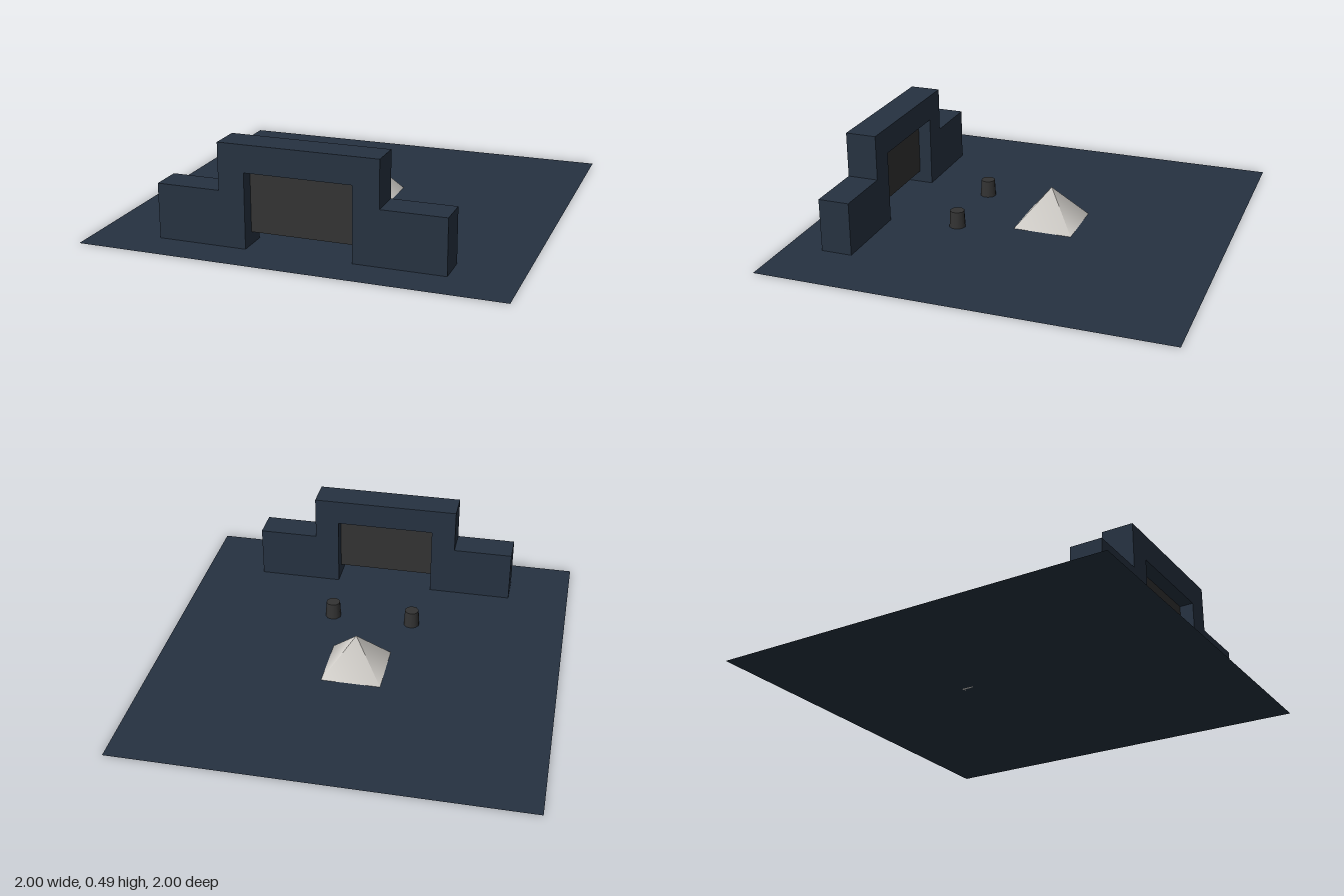
import * as THREE from 'three';

export function createModel() {
  const model = new THREE.Group();
  const material = (name, color, side = THREE.FrontSide) => {
    const m = new THREE.MeshStandardMaterial({ color, side });
    m.name = name;
    return m;
  };
  const navy = material('dark navy', 0x263241);
  const navyGround = material('dark navy', 0x263241, THREE.DoubleSide);
  const charcoal = material('charcoal', 0x333333);
  const stone = material('pale stone', 0xd0cdc8);

  const add = (name, geometry, mat, x, y, z) => {
    const mesh = new THREE.Mesh(geometry, mat);
    mesh.name = name;
    mesh.position.set(x, y, z);
    model.add(mesh);
    return mesh;
  };

  // Flat square ground
  add('ground', new THREE.PlaneGeometry(2, 2).rotateX(-Math.PI / 2), navyGround, 0, 0, 0);

  // Stepped gatehouse with a rectangular opening
  const half = [[0.255, 0], [0.685, 0], [0.685, 0.265], [0.38, 0.265], [0.38, 0.49]];
  const outline = [...half, ...half.map(([x, y]) => [-x, y]).reverse()];
  outline.push([-0.255, 0.36], [0.255, 0.36]);
  const wall = new THREE.Shape(outline.map(([x, y]) => new THREE.Vector2(x, y)));
  const wallGeometry = new THREE.ExtrudeGeometry(wall, { depth: 0.155, bevelEnabled: false });
  add('gatehouse', wallGeometry, navy, 0, 0, 0.66);

  // Raised gate panel hung inside the opening
  add('gatePanel', new THREE.BoxGeometry(0.51, 0.3, 0.02), charcoal, 0, 0.21, 0.737);

  // Pair of tapered bollards
  for (const side of [-1, 1]) {
    const bollard = new THREE.CylinderGeometry(0.036, 0.041, 0.085, 10);
    add(side > 0 ? 'leftBollard' : 'rightBollard', bollard, charcoal, side * 0.21, 0.0425, 0.315);
  }

  // Four-sided pyramid
  const pyramid = new THREE.ConeGeometry(0.148 * Math.SQRT2, 0.185, 4).rotateY(Math.PI / 4);
  add('pyramid', pyramid, stone, 0, 0.0925, -0.107);

  return model;
}
